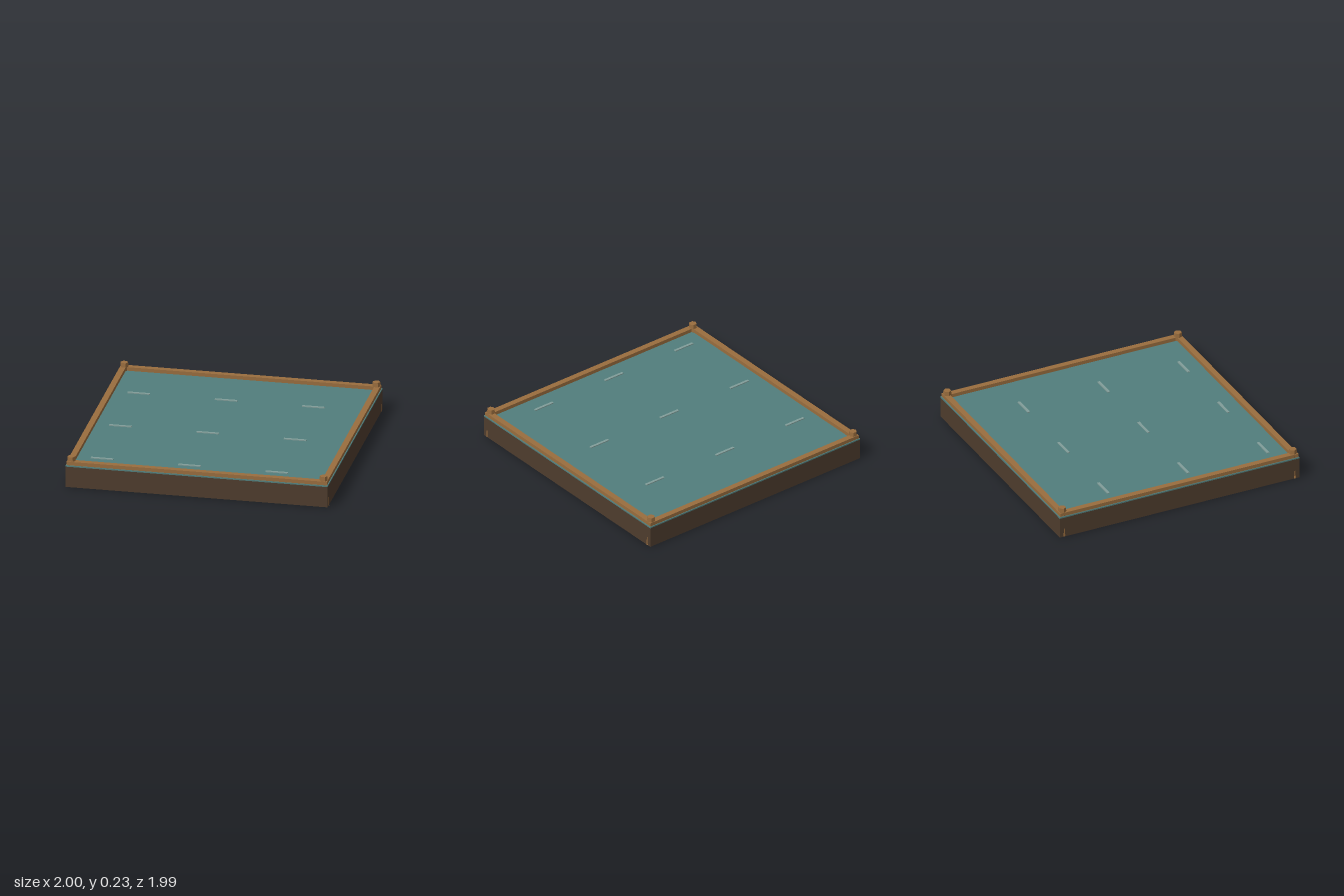
import * as THREE from 'three';

export function createModel() {
  const model = new THREE.Group();
  const paint = (name, color) => {
    const m = new THREE.MeshStandardMaterial({ color });
    m.name = name;
    return m;
  };
  const darkWood = paint('dark wood', 0x4e3c2d);
  const teal = paint('teal water', 0x527e7c);
  const wood = paint('wood', 0x996d3e);
  const pale = paint('pale ripple', 0x819d99);

  const add = (name, geometry, material, x, y, z) => {
    const mesh = new THREE.Mesh(geometry, material);
    mesh.name = name;
    mesh.position.set(x, y, z);
    model.add(mesh);
    return mesh;
  };
  // Box given by its bottom and top heights
  const slab = (name, material, w, d, y0, y1, x = 0, z = 0) =>
    add(name, new THREE.BoxGeometry(w, y1 - y0, d), material, x, (y0 + y1) / 2, z);

  const SIZE = 1.99, BASE_TOP = 0.162, WATER_TOP = 0.172, RAIL_TOP = 0.2;
  slab('base', darkWood, SIZE, SIZE, 0, BASE_TOP);
  slab('waterSurface', teal, SIZE, SIZE, BASE_TOP, WATER_TOP);

  // Rim rails: front and back run full length, sides fit between them
  const outer = 0.988, inner = 0.943;
  const mid = (outer + inner) / 2, width = outer - inner;
  for (const s of [-1, 1]) {
    slab(s > 0 ? 'frontRail' : 'backRail', wood, outer * 2, width, WATER_TOP, RAIL_TOP, 0, s * mid);
    slab(s > 0 ? 'leftRail' : 'rightRail', wood, width, inner * 2, WATER_TOP, RAIL_TOP, s * mid, 0);
  }

  // Tapered six-sided corner posts, a corner pointing sideways
  const post = new THREE.CylinderGeometry(0.029, 0.043, 0.232, 6).rotateY(Math.PI / 2).toNonIndexed();
  post.computeVertexNormals();
  for (const x of [-1, 1]) {
    for (const z of [-1, 1]) add('cornerPost', post, wood, x * 0.957, 0.118, z * 0.957);
  }

  // Three by three ripple dashes on the water
  for (let i = 0; i < 3; i++) {
    for (let j = 0; j < 3; j++) {
      slab('ripple', pale, 0.17, 0.02, WATER_TOP, WATER_TOP + 0.007, -0.755 + i * 0.663, -0.514 + j * 0.663);
    }
  }
  return model;
}
